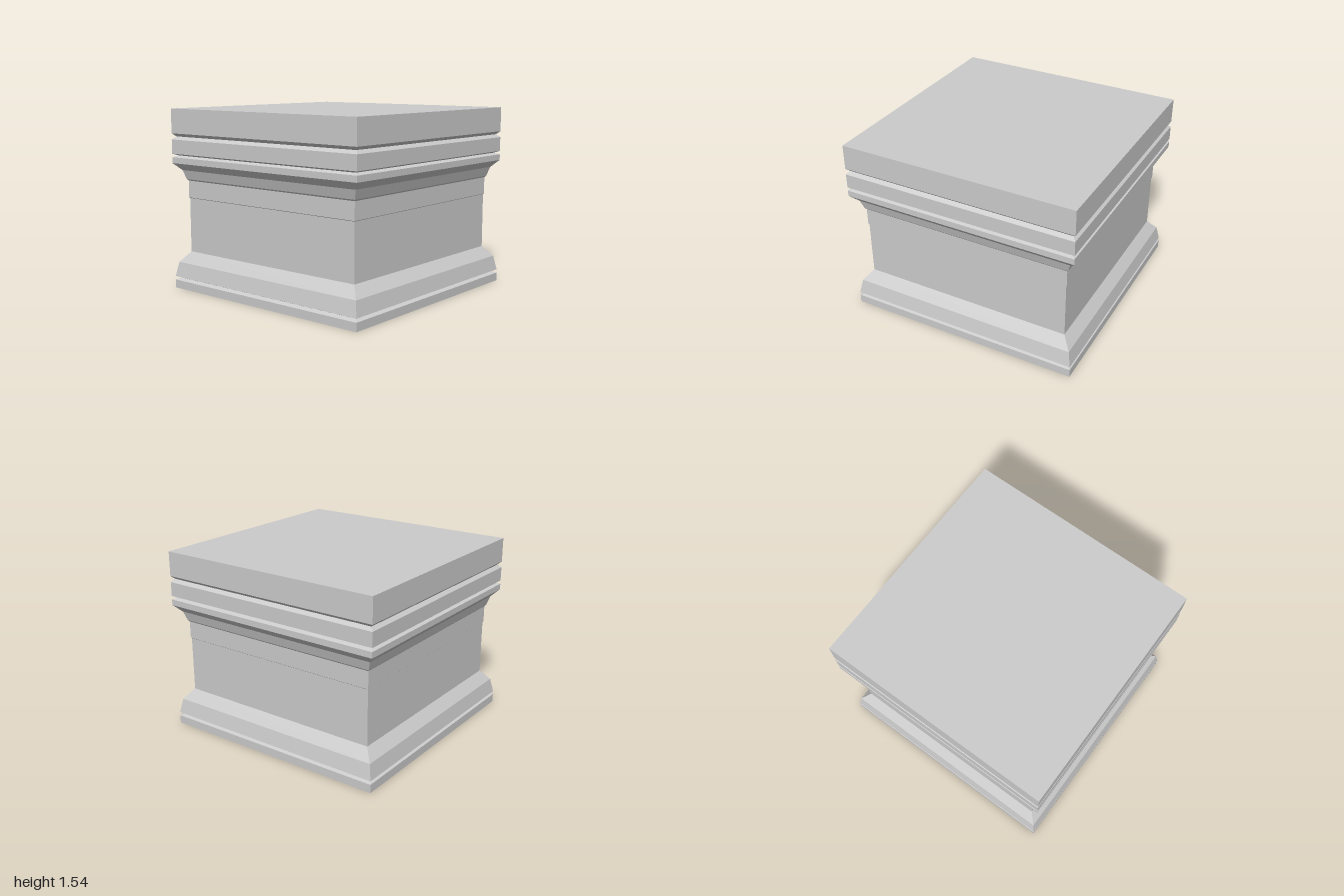
import * as THREE from 'three';

const material = new THREE.MeshStandardMaterial({ color: 0xcccccc, flatShading: true });

// Sweeps a profile of [half width, height] pairs, bottom to top, around a square.
function squareBand(name, profile) {
  const points = profile.map(([w, y]) => new THREE.Vector2(w * Math.SQRT2, y));
  const geometry = new THREE.LatheGeometry(points, 4, Math.PI / 4).toNonIndexed();
  geometry.computeVertexNormals();
  const mesh = new THREE.Mesh(geometry, material);
  mesh.name = name;
  return mesh;
}

export function createModel() {
  const group = new THREE.Group();
  group.name = 'pedestal';
  const parts = {
    // Foot with its closed underside, up to the bottom of the groove
    plinth: [[0, 0], [1, 0], [1, 0.07], [0.962, 0.085]],
    // Sloping base moulding
    baseMoulding: [[0.962, 0.085], [1, 0.1], [0.975, 0.225], [0.9, 0.315]],
    // Main block, a touch wider near the top
    shaft: [[0.9, 0.315], [0.9, 0.78], [0.906, 0.785], [0.906, 0.93]],
    // Flared moulding under the cap
    neckMoulding: [[0.906, 0.93], [0.917, 0.942], [0.942, 1.02], [1, 1.08], [1, 1.13], [0.962, 1.145]],
    // Flat band between the two upper grooves
    capBand: [[0.962, 1.145], [1, 1.16], [1, 1.28], [0.972, 1.306]],
    // Top slab with its closed upper face
    topSlab: [[0.972, 1.306], [1, 1.332], [1, 1.54], [0, 1.54]],
  };
  for (const [name, profile] of Object.entries(parts)) group.add(squareBand(name, profile));
  return group;
}
